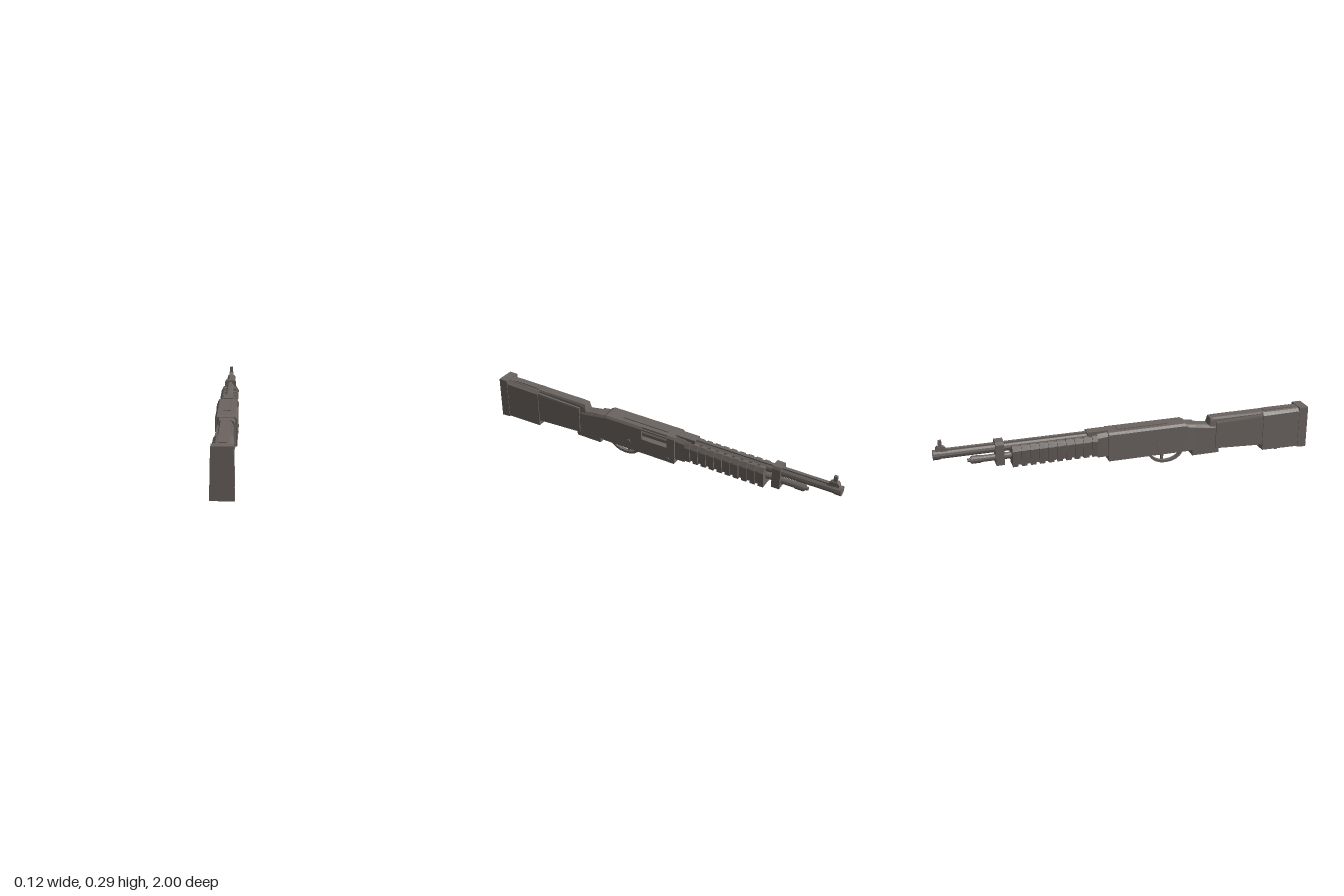
import * as THREE from 'three';

const metal = new THREE.MeshStandardMaterial({ color: 0x6b6460 });
metal.name = 'gunmetal grey';
metal.flatShading = true;

export function createModel() {
  const group = new THREE.Group();
  group.name = 'pumpShotgun';

  const add = (name, geo) => {
    const mesh = new THREE.Mesh(geo, metal);
    mesh.name = name;
    group.add(mesh);
    return mesh;
  };

  // Box given by its limits on each axis
  const box = (name, x0, x1, y0, y1, z0, z1) =>
    add(name, new THREE.BoxGeometry(x1 - x0, y1 - y0, z1 - z0)
      .translate((x0 + x1) / 2, (y0 + y1) / 2, (z0 + z1) / 2));

  // Round bar along z
  const bar = (name, r, y, z0, z1, sides = 12, x = 0) =>
    add(name, new THREE.CylinderGeometry(r, r, z1 - z0, sides)
      .rotateX(Math.PI / 2).translate(x, y, (z0 + z1) / 2));

  // Loft of six-sided sections from high z to low z:
  // [z, bottomHalf, sideHalf, topHalf, yBottom, yShoulder, yTop]
  const loft = (name, sections) => {
    const rings = sections.map(([z, wb, ws, wt, y0, ys, y1]) => [
      [-wb, y0, z], [wb, y0, z], [ws, ys, z], [wt, y1, z], [-wt, y1, z], [-ws, ys, z]]);
    const pos = [];
    const tri = (...pts) => pts.forEach((p) => pos.push(...p));
    const first = rings[0], last = rings[rings.length - 1];
    for (let i = 1; i < 5; i++) {
      tri(first[0], first[i], first[i + 1]);
      tri(last[0], last[i + 1], last[i]);
    }
    for (let s = 0; s < rings.length - 1; s++) {
      const a = rings[s], b = rings[s + 1];
      for (let i = 0; i < 6; i++) {
        const j = (i + 1) % 6;
        tri(a[i], b[i], a[j]);
        tri(a[j], b[i], b[j]);
      }
    }
    const geo = new THREE.BufferGeometry();
    geo.setAttribute('position', new THREE.Float32BufferAttribute(pos, 3));
    geo.computeVertexNormals();
    return add(name, geo);
  };

  // Side profile of (z, y) points, extruded across x
  const sideProfile = (name, pts, width) => {
    const shape = new THREE.Shape(pts.map(([z, y]) => new THREE.Vector2(z, y)));
    return add(name, new THREE.ExtrudeGeometry(shape, { depth: width, bevelEnabled: false })
      .translate(0, 0, -width / 2).rotateY(-Math.PI / 2));
  };

  // Stock
  loft('buttPad', [
    [1, 0.053, 0.048, 0.047, 0.015, 0.24, 0.246],
    [0.95, 0.053, 0.048, 0.047, 0.018, 0.24, 0.246]]);
  loft('rearStock', [
    [0.95, 0.05, 0.046, 0.03, 0.022, 0.225, 0.238],
    [0.74, 0.05, 0.046, 0.03, 0.026, 0.222, 0.238]]);
  loft('frontStock', [
    [0.74, 0.045, 0.043, 0.041, 0.056, 0.217, 0.227],
    [0.47, 0.042, 0.04, 0.038, 0.069, 0.21, 0.218]]);
  loft('comb', [
    [0.95, 0.032, 0.028, 0.024, 0.2, 0.232, 0.242],
    [0.47, 0.032, 0.028, 0.022, 0.19, 0.23, 0.242],
    [0.44, 0.032, 0.028, 0.022, 0.18, 0.222, 0.24],
    [0.43, 0.032, 0.028, 0.022, 0.18, 0.195, 0.205]]);
  box('combInlay', -0.018, 0.018, 0.238, 0.246, 0.75, 0.92);
  add('slingStud', new THREE.CylinderGeometry(0.01, 0.01, 0.03, 10).translate(0, 0.015, 0.845));

  // Wrist and grip
  loft('wrist', [
    [0.49, 0.036, 0.035, 0.026, 0.042, 0.185, 0.2],
    [0.43, 0.036, 0.035, 0.026, 0.042, 0.187, 0.203],
    [0.34, 0.036, 0.035, 0.026, 0.042, 0.2, 0.218]]).geometry.computeBoundingBox();
  loft('receiverCollar', [
    [0.355, 0.042, 0.042, 0.034, 0.075, 0.205, 0.218],
    [0.3, 0.045, 0.045, 0.036, 0.078, 0.212, 0.226]]);

  // Receiver with the ejection port cut into its left side
  loft('receiverRear', [
    [0.31, 0.053, 0.053, 0.044, 0.08, 0.215, 0.226],
    [0.29, 0.054, 0.054, 0.045, 0.08, 0.224, 0.236],
    [0.07, 0.054, 0.054, 0.045, 0.08, 0.224, 0.236]]);
  const portSection = new THREE.Shape([
    [-0.054, 0.08], [0.054, 0.08], [0.054, 0.165], [0.022, 0.165], [0.022, 0.222],
    [0.048, 0.222], [0.045, 0.236], [-0.045, 0.236], [-0.054, 0.224],
  ].map(([x, y]) => new THREE.Vector2(x, y)));
  add('receiverPort', new THREE.ExtrudeGeometry(portSection, { depth: 0.15, bevelEnabled: false })
    .translate(0, 0, -0.08));
  loft('receiverFront', [
    [-0.08, 0.054, 0.054, 0.045, 0.08, 0.224, 0.236],
    [-0.125, 0.054, 0.054, 0.045, 0.08, 0.224, 0.236]]);
  bar('bolt', 0.02, 0.195, -0.08, 0.07, 10, 0.027);
  box('portLip', 0.05, 0.057, 0.222, 0.229, -0.08, 0.07);
  box('topInlay', -0.02, 0.02, 0.234, 0.24, -0.07, 0.2);
  box('sideSlot', -0.057, -0.053, 0.212, 0.222, -0.08, 0.02);
  for (const [y, z, r] of [[0.125, 0.15, 0.014], [0.1, -0.09, 0.008]]) {
    add('crossPin', new THREE.CylinderGeometry(r, r, 0.115, 10).rotateZ(Math.PI / 2).translate(0, y, z));
  }

  // Trigger and its guard
  const guard = [];
  const arc = (rz, ry, back) => {
    for (let i = 0; i <= 10; i++) {
      const t = Math.PI * (back ? 10 - i : i) / 10;
      guard.push([0.2 + rz * Math.cos(t), 0.084 - ry * Math.sin(t)]);
    }
  };
  arc(0.1, 0.074, false);
  arc(0.086, 0.061, true);
  sideProfile('triggerGuard', guard, 0.02);
  sideProfile('trigger', [[0.198, 0.085], [0.188, 0.055], [0.184, 0.03], [0.173, 0.03],
    [0.173, 0.055], [0.18, 0.085]], 0.012);

  // Receiver front block, barrel and magazine tube
  loft('frontBlock', [
    [-0.12, 0.042, 0.045, 0.03, 0.105, 0.215, 0.234],
    [-0.18, 0.042, 0.045, 0.03, 0.105, 0.21, 0.23]]);
  box('rearSightPlate', -0.026, 0.026, 0.215, 0.242, -0.23, -0.12);
  bar('barrel', 0.022, 0.212, -0.985, -0.1);
  bar('muzzleRing', 0.025, 0.212, -1, -0.965);
  box('barrelRib', -0.009, 0.009, 0.225, 0.239, -0.965, -0.2);
  bar('magazineTube', 0.017, 0.162, -0.82, -0.15);
  bar('magazineCap', 0.02, 0.162, -0.815, -0.77);
  bar('magazineTip', 0.01, 0.162, -0.835, -0.81, 8);

  // Ribbed pump handle
  loft('pumpHandle', [
    [-0.18, 0.032, 0.042, 0.03, 0.118, 0.195, 0.217],
    [-0.615, 0.032, 0.042, 0.03, 0.118, 0.195, 0.217]]);
  for (let i = 0; i < 10; i++) {
    const z = -0.18 - i * 0.0455;
    loft('pumpRib', [
      [z, 0.038, 0.05, 0.036, 0.11, 0.197, 0.224],
      [z - 0.028, 0.038, 0.05, 0.036, 0.11, 0.197, 0.224]]);
  }

  // Barrel clamp and front sight
  loft('barrelClamp', [
    [-0.655, 0.03, 0.033, 0.026, 0.125, 0.235, 0.25],
    [-0.698, 0.03, 0.033, 0.026, 0.125, 0.235, 0.25]]);
  sideProfile('sightBase', [[-0.925, 0.23], [-0.94, 0.25], [-0.95, 0.256], [-0.975, 0.256],
    [-0.985, 0.245], [-0.985, 0.23]], 0.026);
  box('sightPost', -0.008, 0.008, 0.25, 0.286, -0.97, -0.953);

  return group;
}
